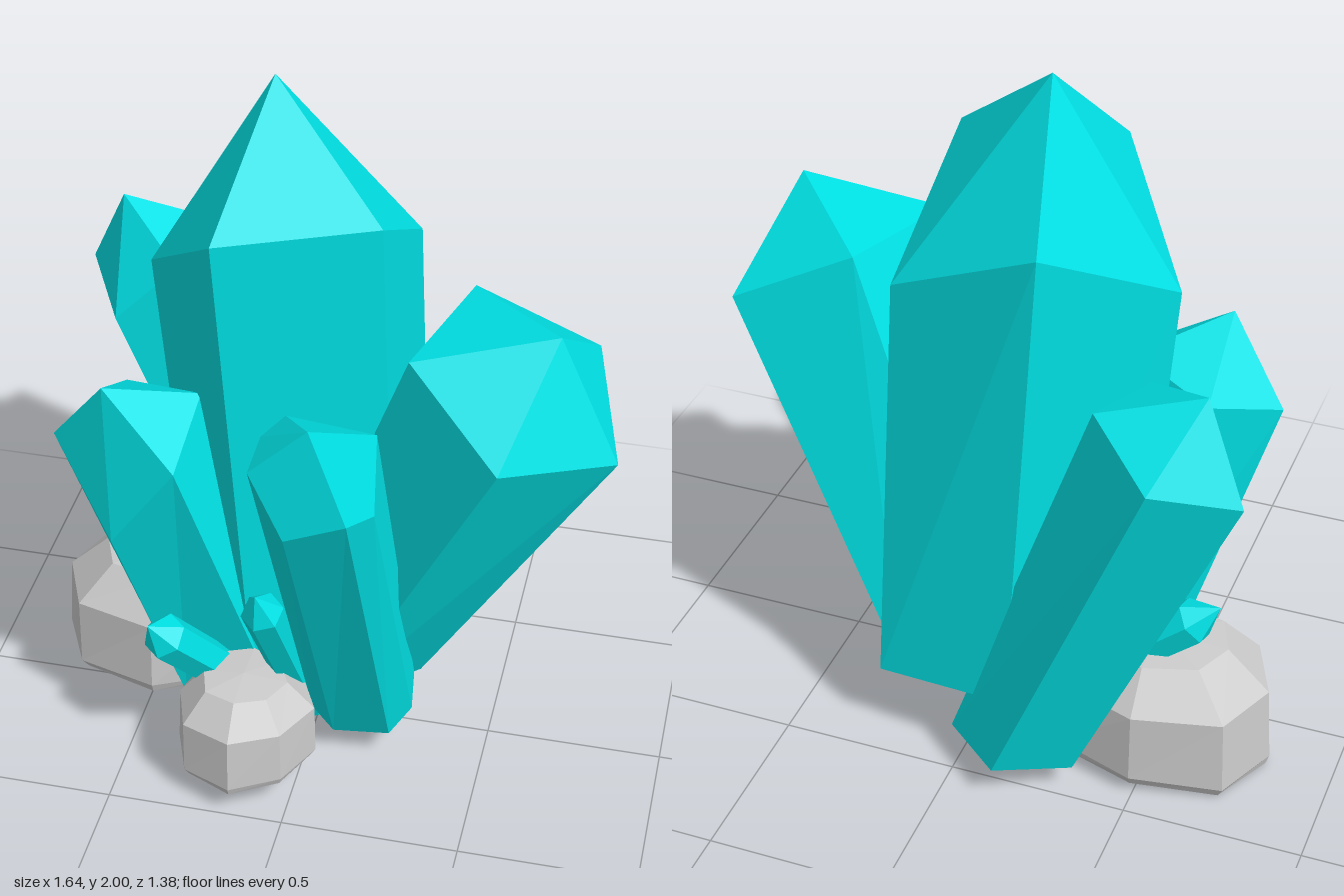
import * as THREE from 'three';

const faceted = (color) => new THREE.MeshStandardMaterial({ color, flatShading: true, side: THREE.DoubleSide });
const teal = faceted(0x00e2e6);
const grey = faceted(0xcccccc);
const V = (p) => new THREE.Vector3(...p);

function add(group, name, geometry, material) {
  const mesh = new THREE.Mesh(geometry, material);
  mesh.name = name;
  group.add(mesh);
}

// Shell open at the foot: rings from bottom to top, closed by a tip
function shell(rings, tip) {
  const corners = [];
  const n = rings[0].length;
  for (let i = 0; i < n; i++) {
    const j = (i + 1) % n;
    for (let r = 0; r + 1 < rings.length; r++) {
      const low = rings[r], high = rings[r + 1];
      corners.push(low[i], low[j], high[j], low[i], high[j], high[i]);
    }
    const last = rings[rings.length - 1];
    corners.push(last[i], last[j], tip);
  }
  const geometry = new THREE.BufferGeometry().setFromPoints(corners);
  geometry.computeVertexNormals();
  return geometry;
}

// Large crystal: foot ring, irregular shoulder ring and pointed tip
function largeCrystal({ tip, ring, foot }) {
  return shell([foot.map(V), ring.map(V)], V(tip));
}

// Small six-sided crystal along the line from base to tip
function smallCrystal({ tip, base, radius }) {
  const a = V(base), b = V(tip);
  const turn = new THREE.Quaternion().setFromUnitVectors(
    new THREE.Vector3(0, 1, 0), b.clone().sub(a).normalize());
  const rings = [[0, 0.9], [0.87, 1]].map(([t, r]) => Array.from({ length: 6 }, (_, i) => {
    const angle = (i / 6) * Math.PI * 2 + 0.3;
    return new THREE.Vector3(Math.cos(angle), 0, -Math.sin(angle))
      .multiplyScalar(radius * r).applyQuaternion(turn).add(a.clone().lerp(b, t));
  }));
  return shell(rings, b);
}

// Rock: uneven faceted dome, its open underside sloping along x
function rock({ center, size, sides, slope }) {
  const profile = [[0, 0.95], [0.08, 1], [0.66, 0.97], [0.96, 0.6]];
  const rings = profile.map(([h, r], row) => Array.from({ length: sides }, (_, i) => {
    const angle = (i / sides) * Math.PI * 2;
    const wobble = r * (1 + 0.04 * Math.sin(i * 2.4 + row * 0.6));
    const x = Math.cos(angle) * wobble * size[0];
    return new THREE.Vector3(
      center[0] + x,
      center[1] + h * size[1] + x * slope * (1 - h),
      center[2] - Math.sin(angle) * wobble * size[2]);
  }));
  return shell(rings, new THREE.Vector3(center[0], center[1] + size[1], center[2]));
}

// Rings run counter-clockwise seen from above
const largeCrystals = {
  mainCrystal: {
    tip: [-0.15, 2, -0.14],
    ring: [[-0.24, 1.68, 0.215], [0.18, 1.71, 0.08], [0.2, 1.45, -0.37], [-0.24, 1.68, -0.5], [-0.49, 1.42, -0.1]],
    foot: [[-0.16, 0.27, 0.18], [0.23, 0.28, 0.06], [0.24, 0.23, -0.43], [-0.15, 0.27, -0.49], [-0.39, 0.25, -0.1]],
  },
  leftCrystal: {
    tip: [0.65, 1.46, 0.09],
    ring: [[0.72, 1.23, -0.24], [0.38, 1.4, -0.2], [0.27, 1.38, 0.17], [0.54, 1.2, 0.37], [0.82, 1.1, 0.11]],
    foot: [[0.2, 0.22, -0.38], [-0.07, 0.2, -0.33], [-0.15, 0.18, -0.05], [0.05, 0.13, 0.12], [0.28, 0.12, -0.09]],
  },
  frontCrystal: {
    tip: [0.12, 1.49, 0.67],
    ring: [[-0.03, 1.36, 0.54], [-0.03, 1.35, 0.68], [0.06, 1.16, 0.69], [0.22, 1.23, 0.69],
      [0.27, 1.2, 0.59], [0.25, 1.36, 0.47], [0.02, 1.39, 0.48]],
    foot: [[0, 0.14, 0.04], [0.01, 0.13, 0.15], [0.08, 0.09, 0.19], [0.24, 0.1, 0.18],
      [0.285, 0.11, 0.07], [0.27, 0.15, -0.04], [0.04, 0.16, -0.03]],
  },
  rightFrontCrystal: {
    tip: [-0.55, 1.2, 0.21],
    ring: [[-0.72, 0.97, 0.13], [-0.52, 0.75, 0.29], [-0.33, 1.02, 0.31], [-0.32, 1.11, 0.05], [-0.56, 1.05, -0.05]],
    foot: [[-0.525, 0.33, 0.04], [-0.37, 0.09, 0.13], [-0.08, 0.08, 0.14], [-0.07, 0.13, -0.09], [-0.36, 0.25, -0.14]],
  },
  rightBackCrystal: {
    tip: [-0.68, 1.38, -0.48],
    ring: [[-0.66, 1.09, -0.28], [-0.48, 1.27, -0.3], [-0.4, 1.3, -0.53], [-0.59, 1.2, -0.69], [-0.8, 1.12, -0.55]],
    foot: [[-0.21, 0.04, -0.25], [-0.05, 0.06, -0.26], [0.02, 0.11, -0.45], [-0.15, 0.11, -0.59], [-0.34, 0.08, -0.47]],
  },
};

const smallCrystals = [
  { tip: [-0.09, 0.72, 0.4], base: [-0.02, 0.08, 0.08], radius: 0.06 },
  { tip: [-0.39, 0.57, 0.41], base: [-0.14, 0.07, 0.06], radius: 0.065 },
  { tip: [-0.67, 0.54, -0.22], base: [-0.12, 0.09, -0.25], radius: 0.065 },
  { tip: [-0.58, 0.65, -0.17], base: [-0.2, 0.08, -0.1], radius: 0.04 },
];

const rocks = {
  largeRock: { center: [-0.49, 0.027, -0.18], size: [0.34, 0.36, 0.26], sides: 8, slope: 0.08 },
  smallRock: { center: [-0.15, 0.08, 0.305], size: [0.2, 0.28, 0.2], sides: 8, slope: 0.06 },
};

export function createModel() {
  const model = new THREE.Group();
  model.name = 'crystalCluster';
  for (const [name, spec] of Object.entries(largeCrystals)) add(model, name, largeCrystal(spec), teal);
  smallCrystals.forEach((spec, i) => add(model, `smallCrystal${i + 1}`, smallCrystal(spec), teal));
  for (const [name, spec] of Object.entries(rocks)) add(model, name, rock(spec), grey);
  return model;
}
